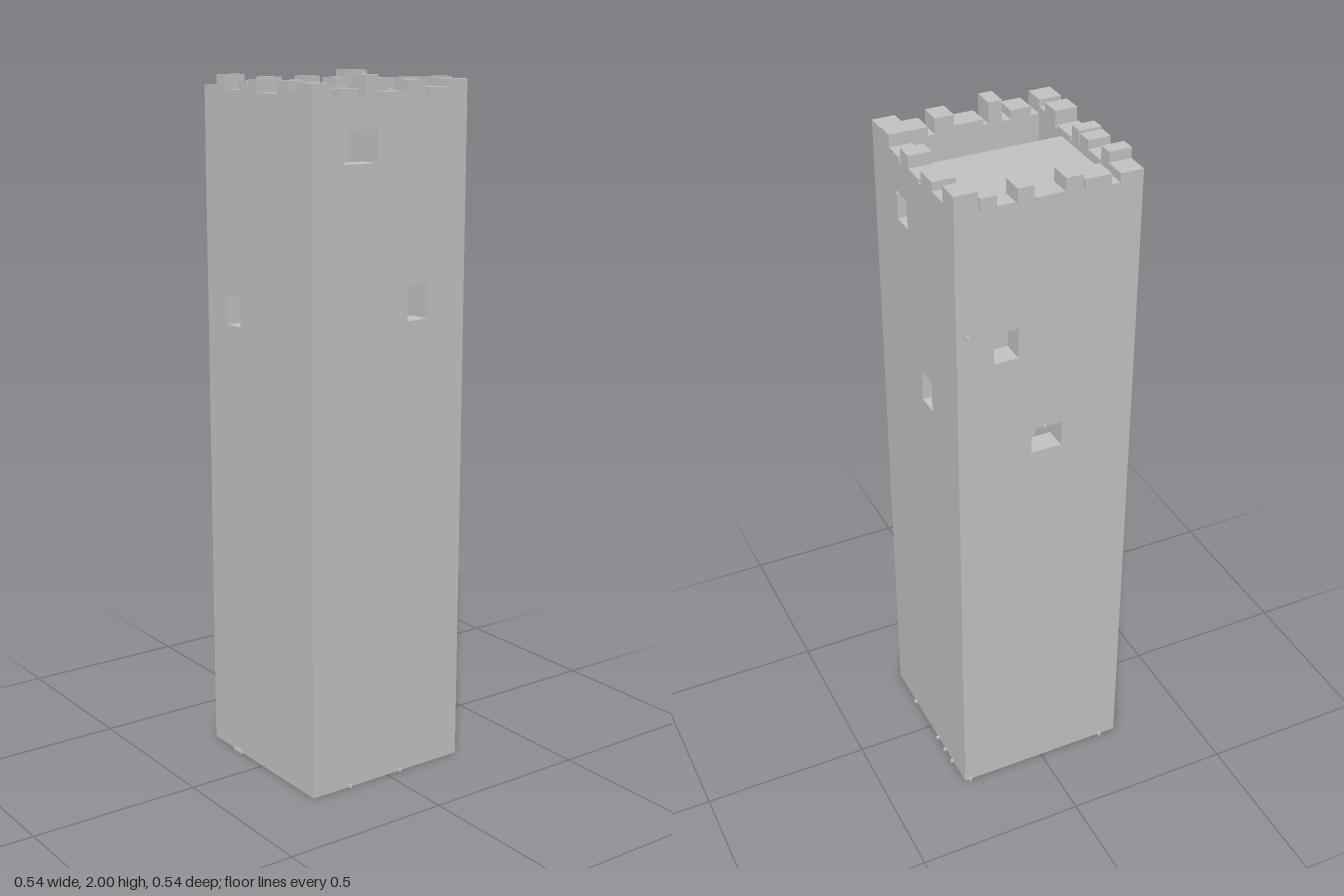
import * as THREE from 'three';

const OUT = 0.26, IN = 0.195, TOP = 1.94, T = OUT - IN;

export function createModel() {
  const stone = new THREE.MeshStandardMaterial({ color: 0xc0c0c0 });
  stone.name = 'stone';
  const tower = new THREE.Group();
  tower.name = 'tower';

  const box = (parent, name, x0, x1, y0, y1, z0, z1) => {
    const m = new THREE.Mesh(new THREE.BoxGeometry(x1 - x0, y1 - y0, z1 - z0), stone);
    m.position.set((x0 + x1) / 2, (y0 + y1) / 2, (z0 + z1) / 2);
    m.name = name;
    parent.add(m);
  };

  // Each wall is drawn facing +z and then turned. u runs to the right as seen from outside.
  // windows: [u0, u1, y0, y1]; merlons: [u0, u1, top]; chips: [u, y]
  const walls = [
    {
      name: 'front', turn: 0, half: OUT,
      windows: [[-0.155, -0.09, 1.3, 1.385]],
      merlons: [[-0.26, -0.195, 1.965], [-0.195, -0.155, 1.995], [-0.15, -0.085, 1.955], [-0.085, -0.04, 1.98],
        [-0.035, 0.005, 1.985], [0.015, 0.09, 1.95], [0.1, 0.16, 1.985], [0.16, 0.195, 1.96], [0.195, 0.26, 1.98]],
      chips: [[-0.14, 0.004], [-0.123, 0.004], [-0.098, 1.385], [-0.11, 0.004]],
    },
    {
      name: 'back', turn: Math.PI, half: OUT,
      windows: [[-0.105, -0.04, 1.77, 1.85], [0.025, 0.09, 1.28, 1.37]],
      merlons: [[-0.26, -0.195, 1.985], [-0.195, -0.145, 1.99], [-0.145, -0.085, 1.955], [-0.07, -0.02, 1.985],
        [-0.02, 0.045, 1.95], [0.06, 0.13, 1.98], [0.13, 0.195, 1.955], [0.195, 0.26, 2.0]],
      chips: [[-0.12, 0.004], [-0.09, 1.85], [0.06, 0.004], [0.115, 0.004], [0.17, 0.004]],
    },
    {
      name: 'left', turn: Math.PI / 2, half: IN,
      windows: [[-0.155, -0.045, 1.77, 1.86], [0.06, 0.13, 1.335, 1.435]],
      merlons: [[-0.17, -0.11, 1.965], [-0.085, -0.045, 2.0], [-0.03, 0.055, 1.955],
        [0.055, 0.11, 1.985], [0.13, 0.19, 1.965]],
      chips: [[-0.135, 0.004], [-0.055, 1.77], [0.045, 0.004], [0.23, 1.86]],
    },
    {
      name: 'right', turn: -Math.PI / 2, half: IN,
      windows: [[-0.155, -0.085, 1.5, 1.59], [-0.045, 0.045, 1.185, 1.26]],
      merlons: [[-0.19, -0.145, 1.98], [-0.145, -0.095, 1.95], [-0.09, -0.045, 1.985], [-0.04, 0.04, 1.95],
        [0.042, 0.09, 1.985], [0.095, 0.17, 1.97]],
      chips: [[-0.245, 0.004], [-0.23, 1.6], [-0.008, 1.265], [0.205, 0.004]],
    },
  ];

  for (const w of walls) {
    const side = new THREE.Group();
    side.name = w.name + 'Side';
    side.rotation.y = w.turn;
    tower.add(side);

    // Wall slab with window openings
    const shape = new THREE.Shape([
      new THREE.Vector2(-w.half, 0), new THREE.Vector2(w.half, 0),
      new THREE.Vector2(w.half, TOP), new THREE.Vector2(-w.half, TOP),
    ]);
    for (const [u0, u1, y0, y1] of w.windows) {
      shape.holes.push(new THREE.Path([
        new THREE.Vector2(u0, y0), new THREE.Vector2(u0, y1),
        new THREE.Vector2(u1, y1), new THREE.Vector2(u1, y0),
      ]));
    }
    const wall = new THREE.Mesh(new THREE.ExtrudeGeometry(shape, { depth: T, bevelEnabled: false }), stone);
    wall.position.z = IN;
    wall.name = w.name + 'Wall';
    side.add(wall);

    // Uneven battlement blocks
    for (const [u0, u1, top] of w.merlons) box(side, 'merlon', u0, u1, TOP, top, IN, OUT);

    // Small stone chips on the outer face
    for (const [u, y] of w.chips) box(side, 'stoneChip', u - 0.004, u + 0.004, y - 0.004, y + 0.004, OUT, OUT + 0.009);
  }

  // Roof deck beside the open stairwell, and the landings below it
  box(tower, 'roofDeck', -IN, 0.063, 1.9, 1.93, -IN, IN);
  box(tower, 'deckCurb', 0.063, 0.073, 1.9, 1.92, 0.105, IN);
  box(tower, 'lowerFloor', -IN, IN, 1.66, 1.69, -IN, IN);
  box(tower, 'landing', 0.107, IN, 1.69, 1.72, 0.02, IN);
  box(tower, 'wallStep', 0.16, IN, 1.76, 1.79, -0.088, -0.055);
  box(tower, 'wallStep', 0.115, 0.148, 1.8, 1.83, -IN, -0.162);

  return tower;
}
